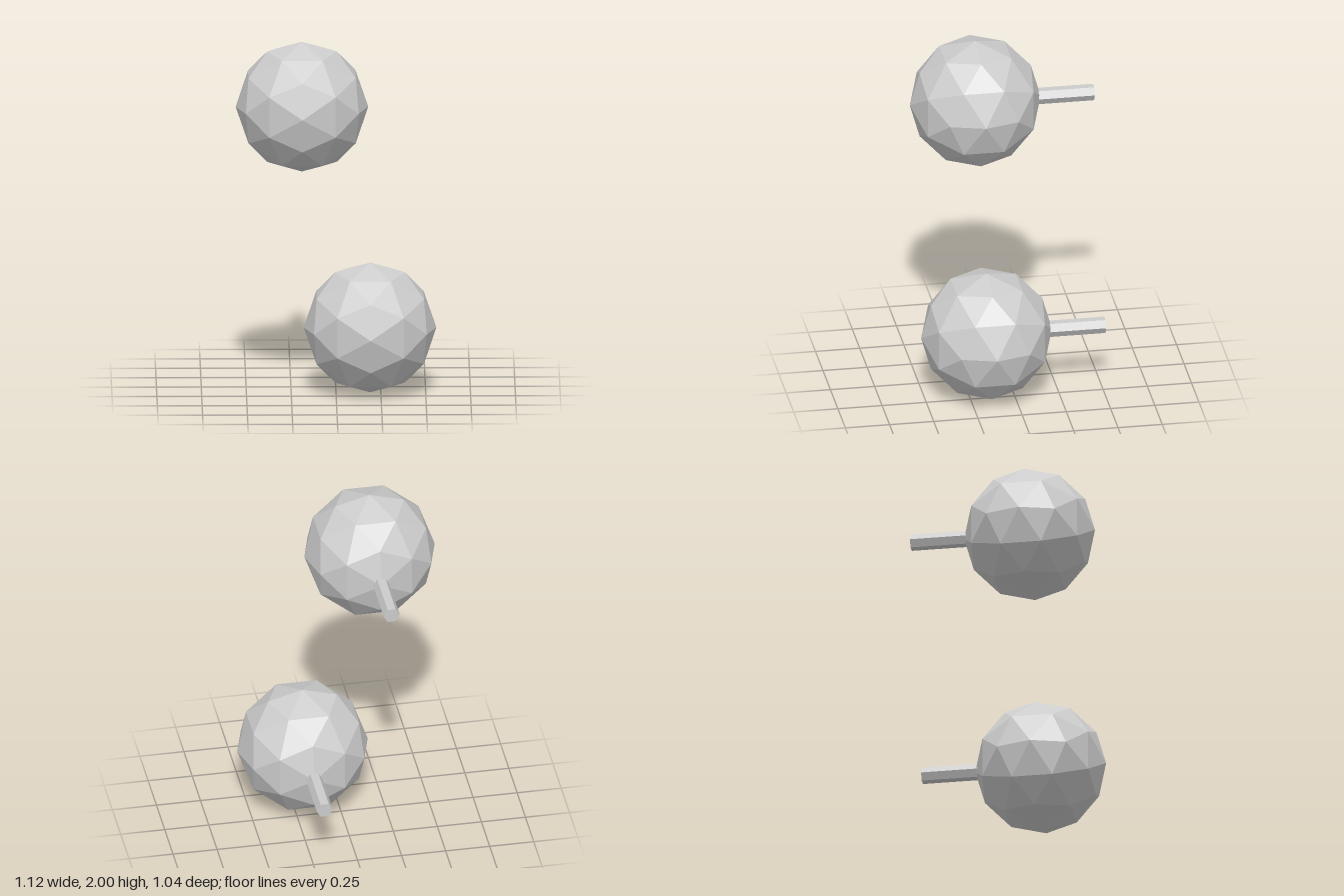
import * as THREE from 'three';

export function createModel() {
  const model = new THREE.Group();
  const grey = new THREE.MeshStandardMaterial({ color: 0xcccccc, flatShading: true });
  grey.name = 'light grey';

  const radius = 0.37;
  const ballZ = 0.149;
  const stemBack = -0.52, stemFront = -0.1; // stem starts inside the ball

  // Faceted ball
  const ballGeometry = new THREE.IcosahedronGeometry(radius, 1);

  // Hexagonal stem along z, with flats on top and bottom
  const stemGeometry = new THREE.CylinderGeometry(0.046, 0.046, stemFront - stemBack, 6);
  stemGeometry.rotateY(Math.PI / 6).rotateX(Math.PI / 2);

  function addKnob(name, x, y) {
    const knob = new THREE.Group();
    knob.name = name;
    knob.position.set(x, y, 0);

    const ball = new THREE.Mesh(ballGeometry, grey);
    ball.name = 'ball';
    ball.position.z = ballZ;

    const stem = new THREE.Mesh(stemGeometry, grey);
    stem.name = 'stem';
    stem.position.z = (stemFront + stemBack) / 2;

    knob.add(ball, stem);
    model.add(knob);
  }

  addKnob('upperKnob', -0.19, 2 - radius);
  addKnob('lowerKnob', 0.19, radius);
  return model;
}
